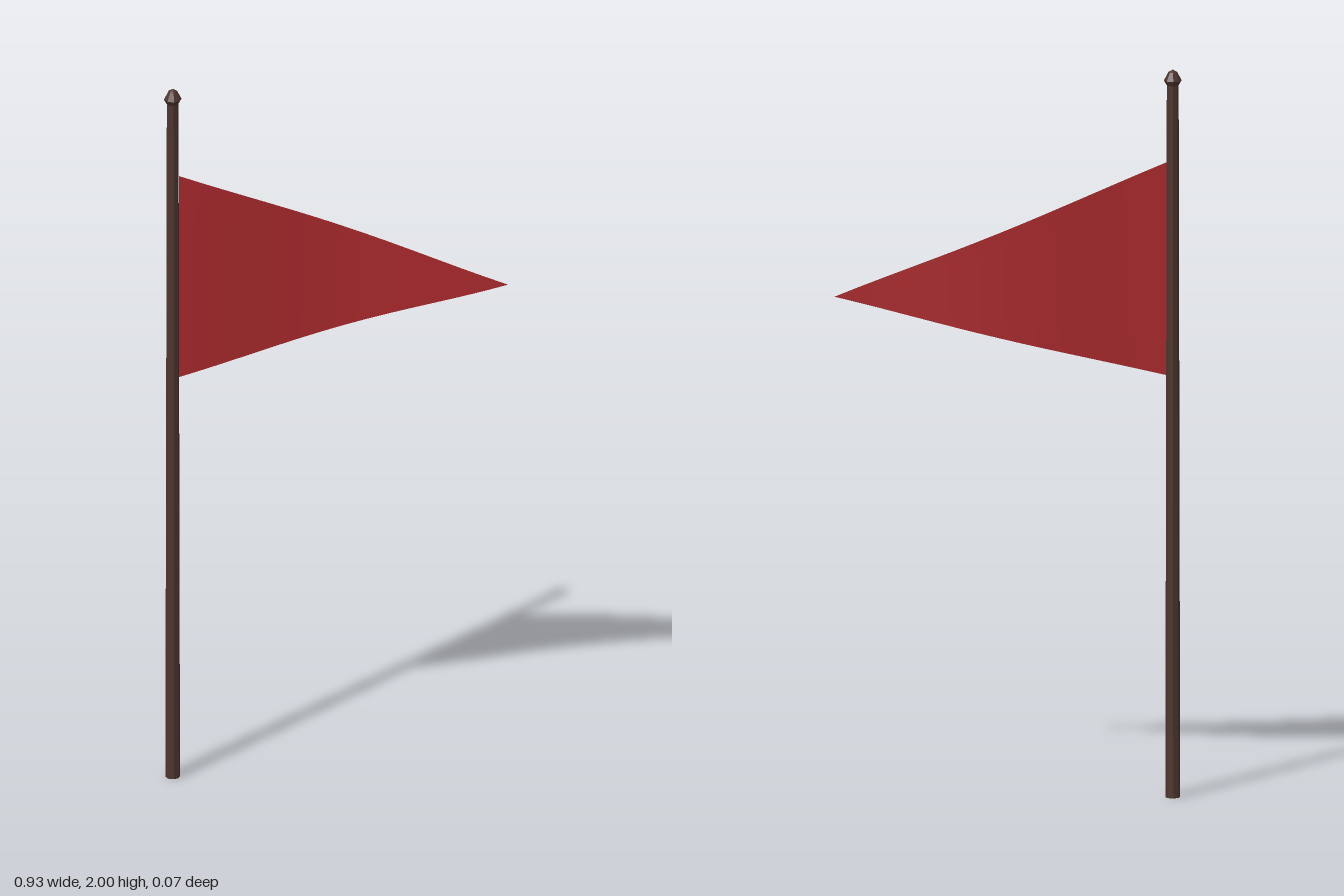
import * as THREE from 'three';

const POLE_X = -0.443, POLE_Z = -0.009;

// Triangular pennant: columns of points narrowing to the tip, with a growing ripple in z
function pennantGeometry() {
  const cols = 14, rows = 4;
  const geo = new THREE.PlaneGeometry(1, 1, cols, rows);
  const pos = geo.attributes.position;
  const root = -0.426, tip = 0.465;
  for (let i = 0; i < pos.count; i++) {
    const u = pos.getX(i) + 0.5, v = pos.getY(i) + 0.5;
    const low = THREE.MathUtils.lerp(1.16, 1.38, u);
    const high = THREE.MathUtils.lerp(1.745, 1.38, u);
    pos.setXYZ(
      i,
      THREE.MathUtils.lerp(root, tip, u),
      THREE.MathUtils.lerp(low, high, v),
      POLE_Z - 0.043 * u * Math.sin(1.5 * Math.PI * u)
    );
  }
  geo.computeVertexNormals();
  return geo;
}

export function createModel() {
  const group = new THREE.Group();
  group.name = 'pennantOnPole';

  const wood = new THREE.MeshStandardMaterial({ color: 0x4e342e, flatShading: true });
  wood.name = 'darkWood';
  const cloth = new THREE.MeshStandardMaterial({ color: 0xac2a2d, side: THREE.DoubleSide });
  cloth.name = 'redCloth';

  const add = (name, geometry, material, x = 0, y = 0, z = 0) => {
    const mesh = new THREE.Mesh(geometry, material);
    mesh.name = name;
    mesh.position.set(x, y, z);
    group.add(mesh);
  };

  // Tapered eight-sided pole
  add('pole', new THREE.CylinderGeometry(0.016, 0.02, 1.965, 8), wood, POLE_X, 0.9825, POLE_Z);

  // Pointed cap flaring out over the pole top
  const capProfile = [[0.015, 1.955], [0.024, 1.97], [0.012, 1.993], [0, 2]]
    .map(([r, y]) => new THREE.Vector2(r, y));
  add('finial', new THREE.LatheGeometry(capProfile, 8), wood, POLE_X, 0, POLE_Z);

  // Rippling cloth
  add('pennant', pennantGeometry(), cloth);

  return group;
}
